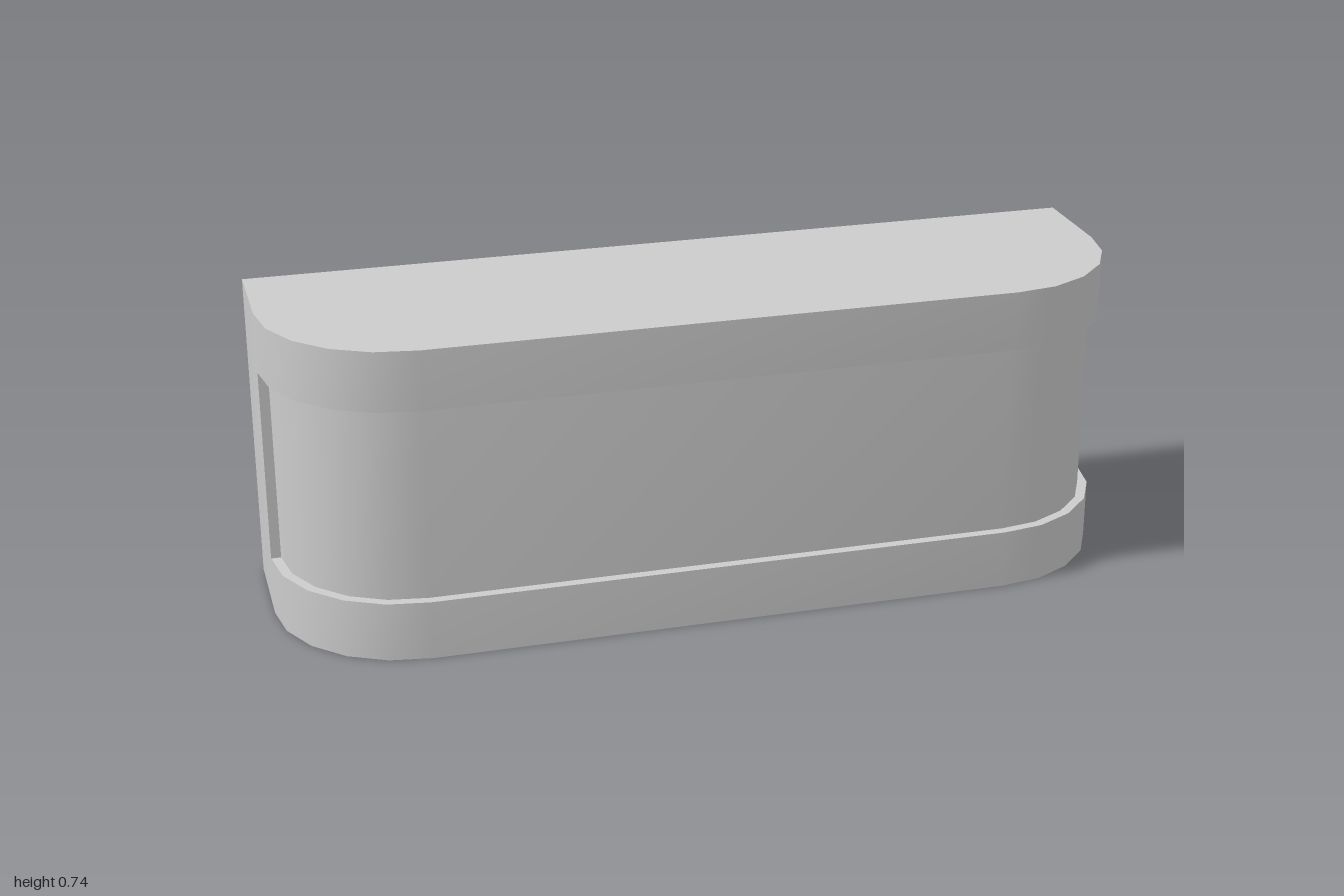
import * as THREE from 'three';
import { mergeGeometries, toCreasedNormals } from 'three/addons/utils/BufferGeometryUtils.js';

const HEIGHT = 0.74, BACK = -0.277, RADIUS = 0.317, INSET = 0.023;
const PANEL_LOW = 0.14, PANEL_TOP = 0.6;
const CX = 1 - RADIUS, CZ = -0.04, STEPS = 5;

// Rounded front from the +x side round to the -x side, as [x, z] points
function frontPath(r) {
  const right = [];
  for (let i = 0; i <= STEPS; i++) {
    const a = (i / STEPS) * Math.PI / 2;
    right.push([CX + r * Math.cos(a), CZ + r * Math.sin(a)]);
  }
  return [...right, ...mirror(right).reverse()];
}

const mirror = (path) => path.map(([x, z]) => [-x, z]);

// Skin between path a at height ya and path b at height yb
function strip(a, ya, b, yb) {
  const pos = [];
  for (let i = 0; i < a.length - 1; i++) {
    const p = (path, y, k) => [path[k][0], y, path[k][1]];
    const a0 = p(a, ya, i), a1 = p(a, ya, i + 1), b0 = p(b, yb, i), b1 = p(b, yb, i + 1);
    pos.push(...a0, ...b0, ...a1, ...a1, ...b0, ...b1);
  }
  const g = new THREE.BufferGeometry();
  g.setAttribute('position', new THREE.Float32BufferAttribute(pos, 3));
  return g;
}

export function createModel() {
  const group = new THREE.Group();
  const material = new THREE.MeshStandardMaterial({ color: 0xcccccc });
  const add = (name, parts) => {
    const mesh = new THREE.Mesh(toCreasedNormals(mergeGeometries(parts), 0.5), material);
    mesh.name = name;
    group.add(mesh);
  };

  const outer = frontPath(RADIUS), inner = frontPath(RADIUS - INSET);
  const first = outer[0], last = outer[outer.length - 1];
  const backRight = [1, BACK], backLeft = [-1, BACK];
  const outline = [backRight, ...outer, backLeft, backRight];
  const rightHalf = [backRight, ...outer.slice(0, STEPS + 1)];
  const leftHalf = mirror(rightHalf);

  add('body', [
    strip(outline, 0, outline, PANEL_LOW),                 // lower band
    strip(outline, PANEL_TOP, outline, HEIGHT),            // upper band
    strip([last, backLeft, backRight, first], PANEL_LOW,
      [last, backLeft, backRight, first], PANEL_TOP),      // back and ends between the bands
    strip(rightHalf, HEIGHT, leftHalf, HEIGHT),            // top
    strip(leftHalf, 0, rightHalf, 0),                      // underside
    strip(outer, PANEL_LOW, inner, PANEL_LOW),             // lower ledge
    strip(inner, PANEL_TOP, outer, PANEL_TOP),             // upper ledge
  ]);

  // Recessed front, with the small steps at both ends
  const recess = [first, ...inner, last];
  add('recessedPanel', [strip(recess, PANEL_LOW, recess, PANEL_TOP)]);

  return group;
}
